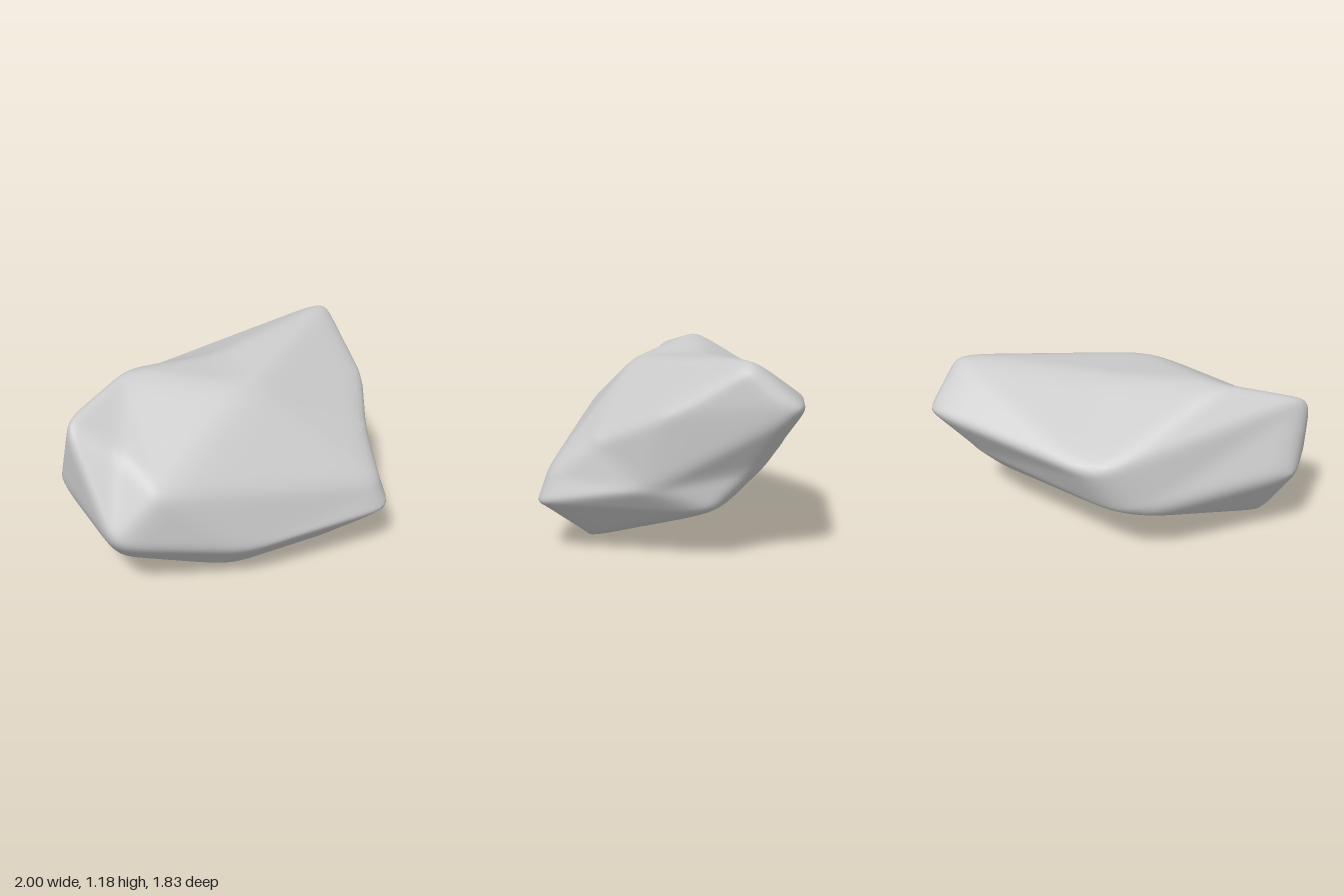
import * as THREE from 'three';
import { mergeVertices } from 'three/addons/utils/BufferGeometryUtils.js';

// Corners of the boulder, set slightly proud because rounding draws them in
const corners = {
  A: [-0.97, 1.07, 0.57], B: [-0.59, 1.19, 0.2], C: [0.05, 1.13, -0.1], D: [0.89, 1.215, -0.66],
  E: [0.85, 0.96, -0.96], F: [-0.31, 0.81, -0.67], G: [-0.45, 0.49, -0.5], H: [-1.03, 0.62, 0.39],
  I: [-0.45, 0.72, 0.9], J: [-0.74, 0.41, 0.94], K: [0.05, 0.26, 0.88], L: [1.01, 0.32, 0.64],
  M: [-0.69, 0.09, 0.55], N: [0, -0.02, 0.6], O: [0.71, 0.04, 0.43], P: [0.84, 0.31, -0.43],
  Q: [1.02, 0.9, -0.15], R: [0.95, 0.49, 0.6], S: [1.0, 0.46, -0.08], T: [0.14, 1.09, 0.36],
  U: [0.75, 0.58, -0.68], V: [0.93, 0.72, 0.29], W: [-0.67, 0.89, 0.67],
};

// Facets between the corners, counter-clockwise from outside
const facets = [
  'FAB', 'FBC', 'FCD', 'FDE', 'BTC', 'CTD', // top
  'AWB', 'WIB', 'BIT', 'IRT', 'TRV', 'TVQ', 'TQD', // slope from the top to the front
  'AHJ', 'AJW', 'JIW', 'HMJ', 'GHAF', // left and back left
  'JKI', 'KRI', 'KLR', 'JMNK', 'KNOL', // front
  'RLSV', 'VSQ', 'LOPS', 'SPU', 'SUE', 'QSE', 'QED', // right
  'UPGFE', 'GMH', 'NMG', 'NGP', 'NPO', // back and underside
];

// Split a triangle into an even n x n grid
function gridTriangle(a, b, c, n, out) {
  const at = (i, j) => new THREE.Vector3()
    .addScaledVector(a, (n - i - j) / n)
    .addScaledVector(b, i / n)
    .addScaledVector(c, j / n);
  for (let i = 0; i < n; i++) {
    for (let j = 0; j < n - i; j++) {
      out.push(at(i, j), at(i + 1, j), at(i, j + 1));
      if (i + j < n - 1) out.push(at(i + 1, j), at(i + 1, j + 1), at(i, j + 1));
    }
  }
}

// Round the edges by moving each vertex to the mean of its neighbours
function relax(geometry, passes) {
  const pos = geometry.attributes.position;
  const index = geometry.index.array;
  const near = Array.from({ length: pos.count }, () => new Set());
  for (let t = 0; t < index.length; t += 3) {
    for (let k = 0; k < 3; k++) {
      const u = index[t + k], v = index[t + (k + 1) % 3];
      near[u].add(v);
      near[v].add(u);
    }
  }
  const p = new THREE.Vector3();
  for (let pass = 0; pass < passes; pass++) {
    const moved = near.map((set) => {
      const mean = new THREE.Vector3();
      set.forEach((v) => mean.add(p.fromBufferAttribute(pos, v)));
      return mean.divideScalar(set.size);
    });
    moved.forEach((m, i) => pos.setXYZ(i, m.x, m.y, m.z));
  }
}

export function createModel() {
  const group = new THREE.Group();
  group.name = 'boulder';

  const points = [];
  for (const facet of facets) {
    const ring = [...facet].map((key) => new THREE.Vector3(...corners[key]));
    for (let k = 1; k < ring.length - 1; k++) {
      gridTriangle(ring[0], ring[k], ring[k + 1], 16, points);
    }
  }
  const geometry = mergeVertices(new THREE.BufferGeometry().setFromPoints(points), 1e-4);
  relax(geometry, 4);

  // Centre it and stand it on the ground
  geometry.center();
  geometry.computeBoundingBox();
  geometry.translate(0, -geometry.boundingBox.min.y, 0);
  geometry.computeVertexNormals();

  const rock = new THREE.Mesh(geometry, new THREE.MeshStandardMaterial({ color: 0xcccccc }));
  rock.name = 'rock';
  group.add(rock);
  return group;
}
